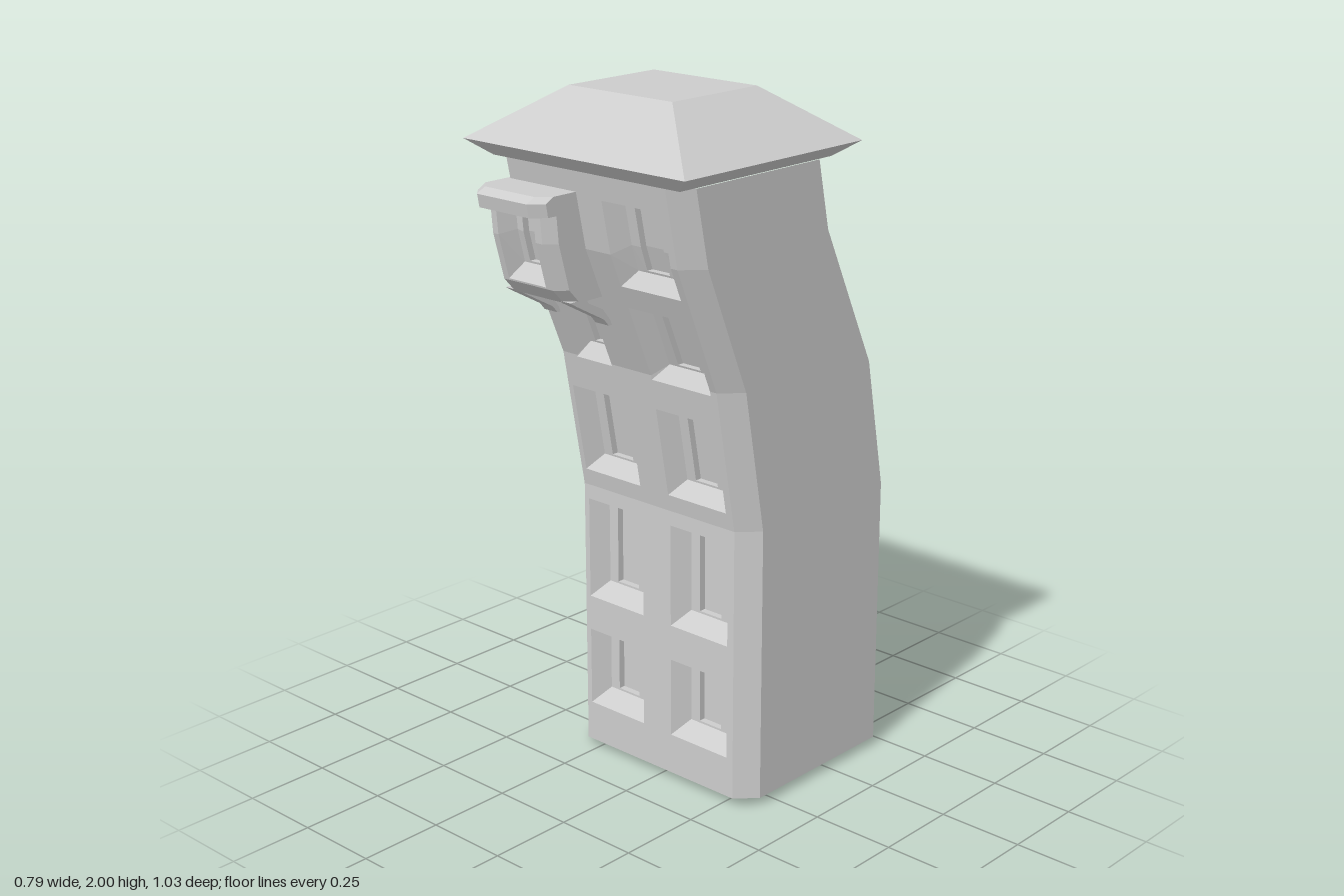
import * as THREE from 'three';
import { mergeGeometries } from 'three/addons/utils/BufferGeometryUtils.js';

const stone = new THREE.MeshStandardMaterial({ color: 0xcccccc });
stone.name = 'grey stone';

// Facade profiles as [y, z]
const FRONT = [[0.025, 0.115], [0.83, 0.115], [1.24, 0.19], [1.6, 0.34], [1.815, 0.385]];
const BACK = [[0.025, -0.512], [0.83, -0.512], [1.21, -0.44], [1.62, -0.246], [1.815, -0.204]];
const BAY = [[1.46, 0.395], [1.5, 0.432], [1.63, 0.467], [1.71, 0.474]];

// Depth of a profile at height y
function depthAt(profile, y) {
  let i = 1;
  while (i < profile.length - 1 && y > profile[i][0]) i++;
  const [y0, z0] = profile[i - 1], [y1, z1] = profile[i];
  return z0 + (z1 - z0) * (y - y0) / (y1 - y0);
}

// Heights from y0 to y1 with the profile's bends between them
function heights(profile, y0, y1) {
  return [y0, ...profile.map(p => p[0]).filter(y => y > y0 + 0.001 && y < y1 - 0.001), y1];
}

// Faceted surface through rows of points: columns run right, rows run up
function patch(rows, closed = false) {
  const pos = [];
  for (let j = 0; j < rows.length - 1; j++) {
    const a = rows[j], b = rows[j + 1], n = a.length;
    for (let i = 0; i < (closed ? n : n - 1); i++) {
      const k = (i + 1) % n;
      for (const p of [a[i], a[k], b[k], a[i], b[k], b[i]]) pos.push(...p);
    }
  }
  const g = new THREE.BufferGeometry();
  g.setAttribute('position', new THREE.Float32BufferAttribute(pos, 3));
  g.computeVertexNormals();
  return g;
}

// Flat convex cap on a ring
function cap(ring, up) {
  const c = [0, 1, 2].map(k => ring.reduce((s, p) => s + p[k], 0) / ring.length);
  const centre = ring.map(() => c);
  return up ? patch([ring, centre], true) : patch([centre, ring], true);
}

// Solid stacked from horizontal rings
function loft(rings) {
  return mergeGeometries([patch(rings, true), cap(rings[0], false), cap(rings.at(-1), true)]);
}

const rect = (x, zf, zb, y) => [[-x, y, zf], [x, y, zf], [x, y, zb], [-x, y, zb]];

function octagon(x, zf, zb, y, c) {
  return [[-x + c, y, zf], [x - c, y, zf], [x, y, zf - c], [x, y, zb + c],
    [x - c, y, zb], [-x + c, y, zb], [-x, y, zb + c], [-x, y, zf - c]];
}

// Wall area following a profile
function wall(profile, x0, x1, y0, y1) {
  return patch(heights(profile, y0, y1).map(y => {
    const z = depthAt(profile, y);
    return [[x0, y, z], [x1, y, z]];
  }));
}

// Splayed window recess with a sunken pane
function recess(profile, [x0, x1, y0, y1]) {
  const ts = heights(profile, y0, y1).map(y => (y - y0) / (y1 - y0));
  const side = (x, b, t, d) => ts.map(s => {
    const y = b + (t - b) * s;
    return [x, y, depthAt(profile, y) - d];
  });
  const w = (x1 - x0) * 0.155;
  const steps = [[0, 0, 0, 0], [w, 0.042, 0.008, 0.05], [2 * w, 0.048, 0.018, 0.05], [2 * w, 0.048, 0.018, 0.07]];
  const sides = steps.map(([dx, db, dt, d]) => [
    side(x0 + dx, y0 + db, y1 - dt, d), side(x1 - dx, y0 + db, y1 - dt, d)]);
  const rings = sides.map(([l, r]) => [...r, ...[...l].reverse()]);
  const [l, r] = sides.at(-1);
  return mergeGeometries([patch(rings, true), patch(l.map((p, i) => [p, r[i]]))]);
}

// Column of wall pierced by windows, listed from bottom to top
function wallColumn(profile, x0, x1, y0, y1, windows) {
  const parts = [];
  let y = y0;
  for (const [a, b, c, d] of windows) {
    parts.push(wall(profile, x0, x1, y, c));
    if (a > x0 + 0.001) parts.push(wall(profile, x0, a, c, d));
    if (b < x1 - 0.001) parts.push(wall(profile, b, x1, c, d));
    y = d;
  }
  parts.push(wall(profile, x0, x1, y, y1));
  return mergeGeometries(parts);
}

export function createModel() {
  const model = new THREE.Group();
  model.name = 'leaningTower';
  const add = (name, geometry, parent = model) => {
    const m = new THREE.Mesh(geometry, stone);
    m.name = name;
    parent.add(m);
    return m;
  };

  // Sides, back and bevelled corners
  const c = 0.055;
  add('towerShell', patch(FRONT.map(([yf, zf], i) => {
    const [yb, zb] = BACK[i];
    return [[0.285, yf, zf], [0.34, yf, zf - c], [0.34, yb, zb + c], [0.285, yb, zb],
      [-0.285, yb, zb], [-0.34, yb, zb + c], [-0.34, yf, zf - c], [-0.285, yf, zf]];
  })));

  // Bevelled foot
  add('base', loft([octagon(0.29, 0.065, -0.462, 0, c), octagon(0.34, 0.115, -0.512, 0.025, c)]));

  // Front wall with two columns of windows
  const rows = [[0.145, 0.38], [0.485, 0.787], [0.88, 1.14], [1.227, 1.445], [1.508, 1.747]];
  const left = rows.map(([a, b]) => [0.05, 0.262, a, b]);
  const right = rows.slice(0, 3).map(([a, b]) => [-0.268, -0.056, a, b]);
  right.push([-0.232, -0.098, 1.235, 1.45]);
  add('frontWall', wallColumn(FRONT, -0.285, 0, 0.025, 1.815, right));
  add('frontWall', wallColumn(FRONT, 0, 0.285, 0.025, 1.815, left));
  for (const w of [...left, ...right]) add('window', recess(FRONT, w));

  // Hipped roof with a flat top and sloping eaves
  add('roof', loft([rect(0.335, 0.385, -0.204, 1.815), rect(0.397, 0.435, -0.255, 1.858),
    rect(0.185, 0.25, -0.075, 2)]));

  // Bay window
  const bay = new THREE.Group();
  bay.name = 'bayWindow';
  model.add(bay);
  const bx0 = -0.255, bx1 = -0.07, bw = [-0.235, -0.095, 1.505, 1.695];
  add('bayFront', wallColumn(BAY, bx0, bx1, 1.46, 1.71, [bw]), bay);
  add('bayPane', recess(BAY, bw), bay);
  add('bayRightSide', patch(BAY.map(([y, z]) => {
    const back = depthAt(FRONT, y) - 0.03;
    return [[-0.285, y, back], [-0.285, y, z - 0.03], [bx0, y, z]];
  })), bay);
  add('bayLeftSide', patch(BAY.map(([y, z]) => {
    const back = depthAt(FRONT, y) - 0.03;
    return [[bx1, y, z], [-0.04, y, z - 0.03], [-0.04, y, back]];
  })), bay);
  add('bayFloor', patch([
    [[-0.285, 1.46, 0.25], [-0.04, 1.46, 0.25]],
    [[-0.285, 1.46, 0.365], [-0.04, 1.46, 0.365]],
    [[bx0, 1.46, 0.395], [bx1, 1.46, 0.395]],
  ]), bay);

  // Cornice of the bay
  const lip = (y, zf) => [[-0.26, y, zf], [-0.075, y, zf], [-0.04, y, zf - 0.035],
    [-0.04, y, 0.33], [-0.295, y, 0.33], [-0.295, y, zf - 0.035]];
  add('bayCornice', loft([lip(1.705, 0.508), lip(1.742, 0.515), lip(1.757, 0.487)]), bay);

  // Curved brackets on either side of the window below
  const profile = new THREE.Shape([[0.4, 1.465], [0.36, 1.465], [0.28, 1.425], [0.24, 1.375],
    [0.258, 1.375], [0.275, 1.395], [0.375, 1.45]].map(p => new THREE.Vector2(...p)));
  for (const x of [-0.235, -0.095]) {
    const g = new THREE.ExtrudeGeometry(profile, { depth: 0.05, bevelEnabled: false });
    g.rotateY(-Math.PI / 2).translate(x, 0, 0);
    // shape x becomes z, depth runs towards -x
    const b = add('bayBracket', g, bay);
    if (x > -0.2) b.position.x = 0.055;
  }
  return model;
}
